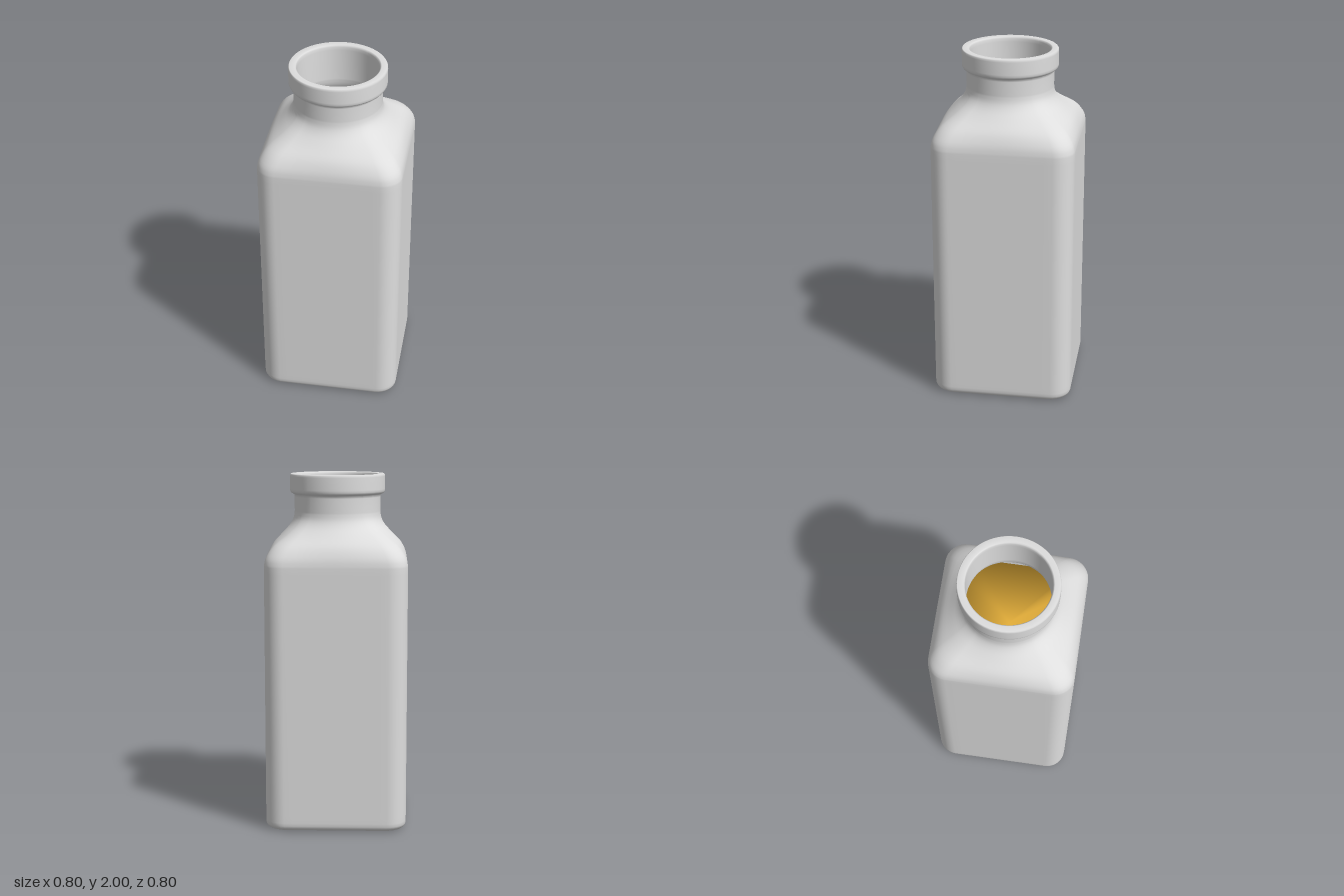
import * as THREE from 'three';

const HALF = 0.4, CORNER = 0.11, ARC = 8, EDGE = 12;

// Unit-size outline of the rounded square (half width = 1), walked once around
function squareOutline() {
  const r = CORNER / HALF, c = 1 - r, pts = [];
  for (let k = 0; k < 4; k++) {
    const side = [];
    for (let i = 0; i < EDGE; i++) side.push([1, -c + (2 * c * i) / EDGE]);
    for (let i = 0; i < ARC; i++) {
      const a = (i / ARC) * Math.PI / 2;
      side.push([c + r * Math.cos(a), c + r * Math.sin(a)]);
    }
    const cs = Math.round(Math.cos(k * Math.PI / 2)), sn = Math.round(Math.sin(k * Math.PI / 2));
    for (const [x, z] of side) pts.push([x * cs - z * sn, x * sn + z * cs]);
  }
  return pts;
}

// Loft rows of [half width, height, squareness]: 1 is rounded square, 0 is circle
function loft(rows) {
  const outline = squareOutline(), n = outline.length, pos = [], index = [];
  rows.forEach(([w, y, s], i) => {
    outline.forEach(([x, z], j) => {
      const k = w * (s + (1 - s) / Math.hypot(x, z));
      pos.push(x * k, y, z * k);
      if (i === rows.length - 1) return;
      const a = i * n + j, b = i * n + (j + 1) % n;
      if (w > 0) index.push(a, b + n, b);
      if (rows[i + 1][0] > 0) index.push(a, a + n, b + n);
    });
  });
  const g = new THREE.BufferGeometry();
  g.setAttribute('position', new THREE.Float32BufferAttribute(pos, 3));
  g.setIndex(index);
  g.computeVertexNormals();
  return g;
}

// Smooth shoulder from the square body (y 1.5) to the round neck (y 1.78)
function shoulder(wide, narrow) {
  const curve = new THREE.SplineCurve([
    [1, 1.5], [0.95, 1.55], [0.77, 1.61], [0.44, 1.665], [0.18, 1.71], [0.04, 1.75], [0, 1.79],
  ].map(([t, y]) => new THREE.Vector2(t, y)));
  return curve.getPoints(20).map(({ x, y }) => {
    const t = THREE.MathUtils.clamp(x, 0, 1);
    return [narrow + (wide - narrow) * t, y, t];
  });
}

export function createModel() {
  const glass = new THREE.MeshStandardMaterial({ color: 0xdedede });
  glass.name = 'pale grey glass';
  const amber = new THREE.MeshStandardMaterial({ color: 0xe6b03a });
  amber.name = 'amber liquid';

  // Outer wall, lip and inner wall as one shell
  const rows = [
    [0, 0, 1], [0.35, 0, 1], [0.365, 0.001, 1], [0.382, 0.006, 1], [0.394, 0.018, 1],
    [0.399, 0.032, 1], [0.4, 0.05, 1], [0.4, 0.08, 1], [0.4, 1.46, 1],
    ...shoulder(0.4, 0.245),
    [0.245, 1.87, 0], [0.247, 1.882, 0], [0.255, 1.888, 0], [0.265, 1.893, 0],
    [0.27, 1.903, 0], [0.27, 1.915, 0], [0.27, 1.985, 0], [0.269, 1.995, 0], [0.265, 2, 0],
    [0.235, 2, 0], [0.229, 1.997, 0], [0.226, 1.988, 0], [0.225, 1.97, 0],
    ...shoulder(0.36, 0.225).reverse(),
    [0.36, 0.08, 1], [0.34, 0.045, 1], [0, 0.045, 1],
  ];
  const bottle = new THREE.Mesh(loft(rows), glass);
  bottle.name = 'bottle';

  // Liquid filling the body up to the shoulder
  const liquid = new THREE.Mesh(loft([
    [0, 0.06, 1], [0.335, 0.06, 1], [0.35, 0.09, 1], [0.35, 1.45, 1], [0, 1.45, 1],
  ]), amber);
  liquid.name = 'liquid';

  const group = new THREE.Group();
  group.name = 'squareBottle';
  group.add(bottle, liquid);
  return group;
}
